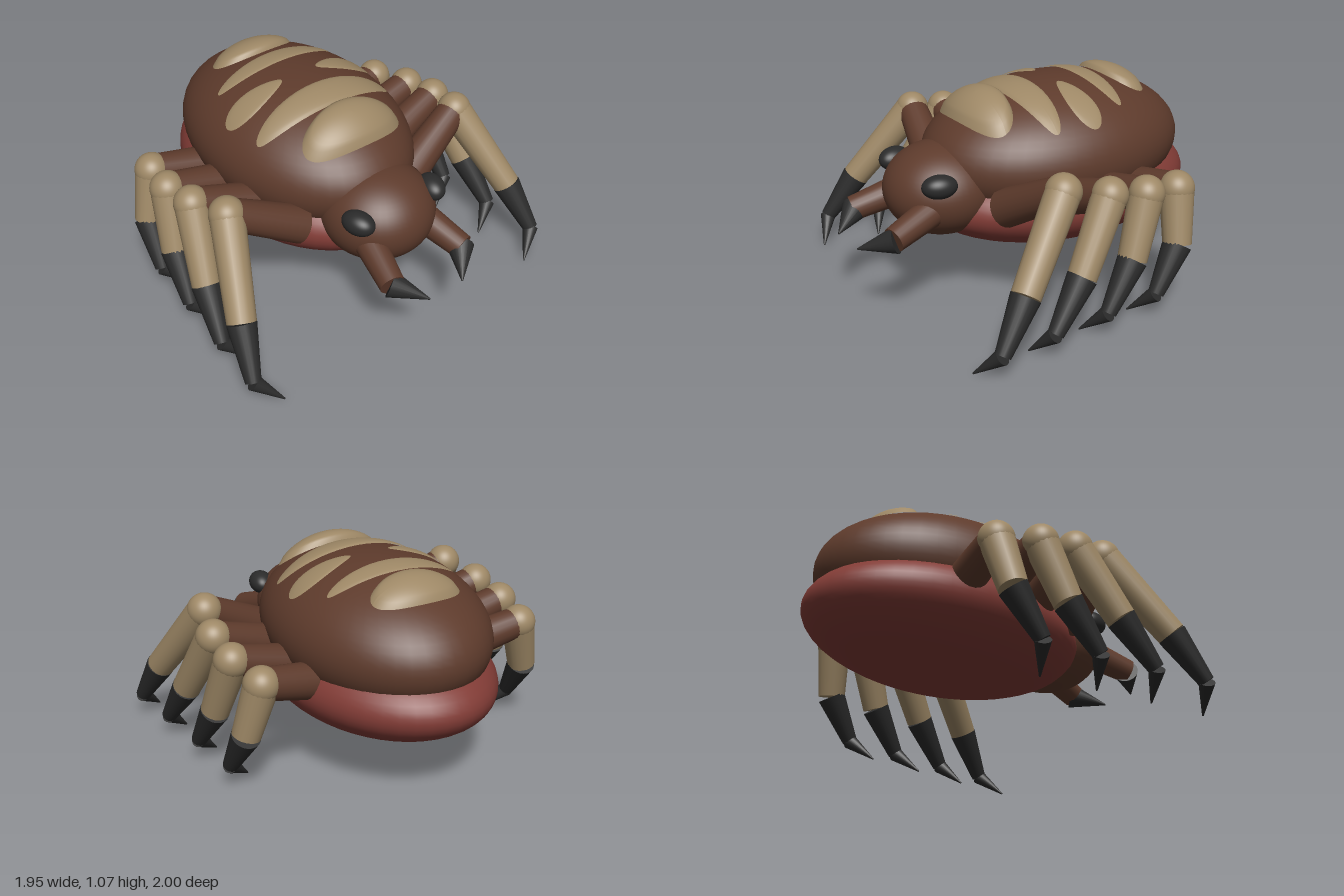
import * as THREE from 'three';

const mat = (name, color) => {
  const m = new THREE.MeshStandardMaterial({ color });
  m.name = name;
  return m;
};

export function createModel() {
  const brown = mat('brown', 0x5e3b2c);
  const tan = mat('tan', 0x9e8866);
  const red = mat('dark red', 0x823c36);
  const black = mat('charcoal', 0x2b2b2b);

  const model = new THREE.Group();
  model.name = 'beetle';

  const add = (parent, name, geometry, material) => {
    const mesh = new THREE.Mesh(geometry, material);
    mesh.name = name;
    parent.add(mesh);
    return mesh;
  };

  const ellipsoid = (parent, name, material, center, radii) => {
    const mesh = add(parent, name, new THREE.SphereGeometry(1, 48, 32), material);
    mesh.position.set(...center);
    mesh.scale.set(...radii);
    return mesh;
  };

  // Tapered round limb running from a to b
  const limb = (parent, name, material, a, b, ra, rb) => {
    const start = new THREE.Vector3(...a), end = new THREE.Vector3(...b);
    const dir = end.clone().sub(start);
    const mesh = add(parent, name, new THREE.CylinderGeometry(rb, ra, dir.length(), 20), material);
    mesh.position.copy(start).add(end).multiplyScalar(0.5);
    mesh.quaternion.setFromUnitVectors(new THREE.Vector3(0, 1, 0), dir.normalize());
    return mesh;
  };

  // Body
  const C = [0, 0.7, -0.205], R = [0.53, 0.36, 0.74];
  ellipsoid(model, 'shell', brown, C, R);
  ellipsoid(model, 'belly', red, [0, 0.485, -0.22], [0.542, 0.275, 0.78]);
  ellipsoid(model, 'head', brown, [0, 0.582, 0.47], [0.295, 0.238, 0.3]);

  // Raised markings that follow the curve of the shell
  const shellY = (x, z) => C[1] + R[1] *
    Math.sqrt(Math.max(0, 1 - (x / R[0]) ** 2 - ((z - C[2]) / R[2]) ** 2));
  const marking = (cx, cz, rx, rz, bulge, taper = 0) => {
    const g = new THREE.RingGeometry(0, 1, 48, 10);
    const p = g.attributes.position;
    for (let i = 0; i < p.count; i++) {
      const u = p.getX(i), v = p.getY(i);
      const x = cx + rx * u;
      const z = cz - rz * v * (1 + taper * u);
      const dome = Math.sqrt(Math.max(0, 1 - u * u - v * v));
      p.setXYZ(i, x, shellY(x, z) + 0.003 + bulge * dome, z);
    }
    g.computeVertexNormals();
    add(model, 'shellMarking', g, tan);
  };
  marking(0, 0.262, 0.29, 0.127, 0.065);
  marking(0, 0.04, 0.415, 0.088, 0.015);
  marking(0, -0.38, 0.36, 0.063, 0.008);
  marking(0, -0.592, 0.24, 0.118, 0.05);

  // Legs: base, knee, shin end, ankle and claw tip, front to back
  const legs = [
    [[0.36, 0.55, 0.31], [0.735, 0.75, 0.235], [0.88, 0.355, 0.54], [0.935, 0.125, 0.7], [0.815, 0.005, 0.785]],
    [[0.36, 0.55, 0.06], [0.79, 0.7, 0.005], [0.865, 0.355, 0.215], [0.905, 0.125, 0.39], [0.785, 0.005, 0.46]],
    [[0.36, 0.54, -0.19], [0.795, 0.66, -0.215], [0.845, 0.355, -0.1], [0.875, 0.125, 0.06], [0.75, 0.005, 0.14]],
    [[0.36, 0.53, -0.39], [0.75, 0.62, -0.445], [0.82, 0.35, -0.405], [0.845, 0.125, -0.26], [0.72, 0.005, -0.18]],
  ];

  for (const s of [1, -1]) {
    const side = s > 0 ? 'left' : 'right';
    const flip = ([x, y, z]) => [s * x, y, z];

    marking(s * 0.28, -0.168, 0.17, 0.07, 0.008, s * 0.35);

    const eye = ellipsoid(model, side + 'Eye', black, [s * 0.235, 0.685, 0.61], [0.065, 0.06, 0.09]);
    eye.rotation.set(0, -s * 0.25, s * 0.15);

    // Jaw with an inward-pointing fang
    const jaw = new THREE.Group();
    jaw.name = side + 'Jaw';
    model.add(jaw);
    limb(jaw, 'jawStem', brown, flip([0.165, 0.545, 0.6]), flip([0.228, 0.465, 0.865]), 0.08, 0.064);
    limb(jaw, 'fang', black, flip([0.228, 0.462, 0.85]), flip([0.105, 0.405, 1]), 0.068, 0.004);

    legs.forEach((points, i) => {
      const [base, knee, shin, ankle, tip] = points.map(flip);
      const leg = new THREE.Group();
      leg.name = side + 'Leg' + (i + 1);
      model.add(leg);
      limb(leg, 'thigh', brown, base, knee, 0.1, 0.08);
      ellipsoid(leg, 'knee', tan, knee, [0.09, 0.09, 0.09]);
      limb(leg, 'shin', tan, knee, shin, 0.088, 0.073);
      limb(leg, 'foot', black, shin, ankle, 0.075, 0.04);
      limb(leg, 'claw', black, ankle, tip, 0.042, 0.004);
    });
  }

  return model;
}
